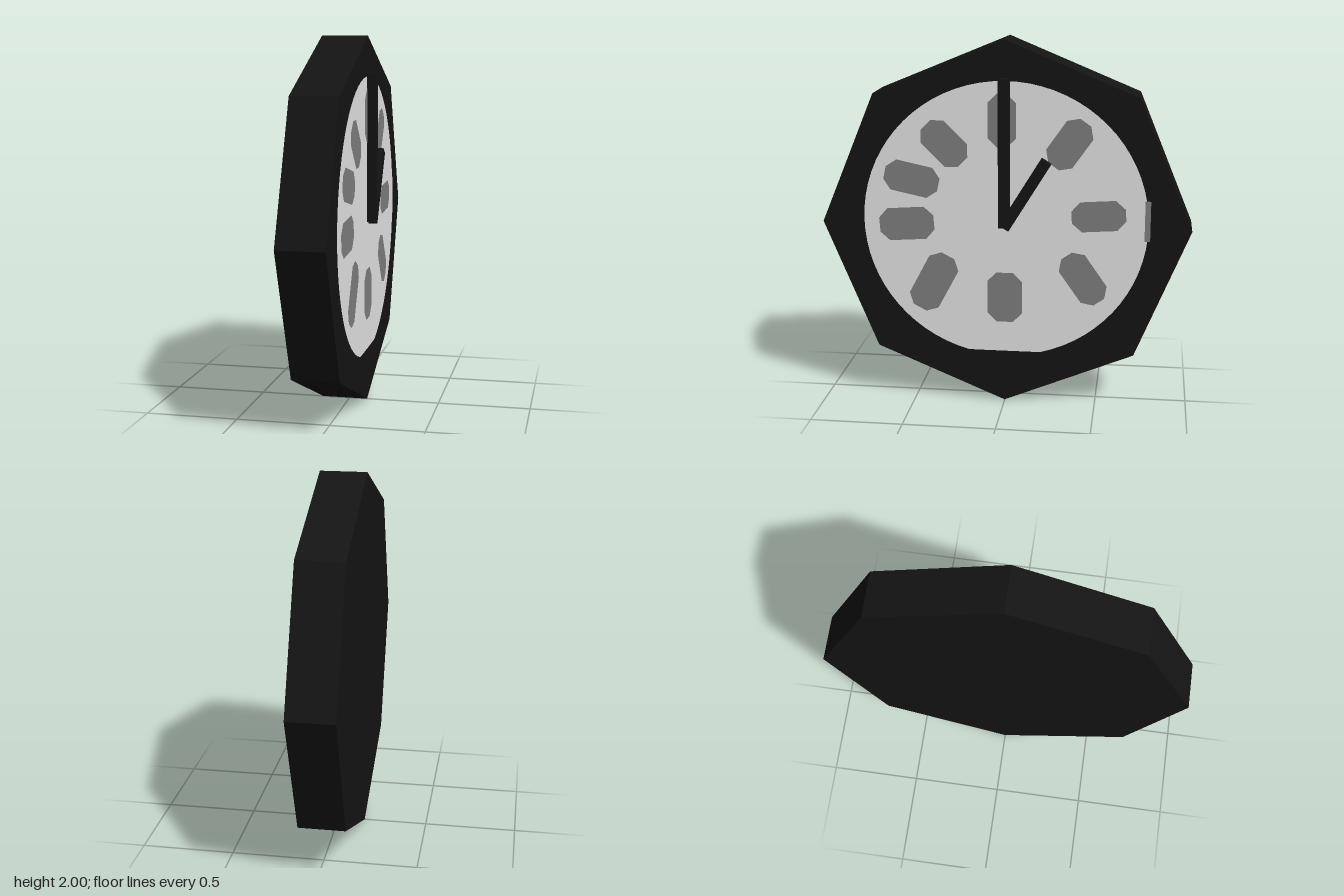
import * as THREE from 'three';

export function createModel() {
  const group = new THREE.Group();
  group.name = 'wallClock';
  const black = new THREE.MeshStandardMaterial({ name: 'black', color: 0x141414 });
  const white = new THREE.MeshStandardMaterial({ name: 'white', color: 0xffffff });
  const grey = new THREE.MeshStandardMaterial({ name: 'grey', color: 0x808080 });

  // The clock is drawn upright in a plane and turned to face +x
  const clock = new THREE.Group();
  clock.name = 'clock';
  clock.rotation.y = Math.PI / 2;
  clock.position.y = 1;
  group.add(clock);

  const add = (name, geometry, material, x, y, z, angle = 0) => {
    const mesh = new THREE.Mesh(geometry, material);
    mesh.name = name;
    mesh.position.set(x, y, z);
    mesh.rotation.z = THREE.MathUtils.degToRad(angle);
    clock.add(mesh);
  };
  // Closed outline from a rule giving the point at each angle
  const outline = (sides, rule) => new THREE.Shape(Array.from({ length: sides }, (_, i) => {
    const a = i / sides * Math.PI * 2;
    return rule(Math.cos(a), Math.sin(a));
  }));

  // Octagonal case with a corner at the top
  const octagon = outline(8, (c, s) => new THREE.Vector2(c, s));
  add('case', new THREE.ExtrudeGeometry(octagon, { depth: 0.25, bevelEnabled: false }), black, 0, 0, -0.15);

  // Dial, a disc with a flattened bottom
  const disc = outline(72, (c, s) => new THREE.Vector2(0.77 * c, Math.max(0.76 * s, -0.735)));
  add('dial', new THREE.ShapeGeometry(disc), white, 0, 0.025, 0.102);

  // Hour marks, clockwise from the top: centre, length, width, tilt of the long axis
  const marks = [
    [-0.015, 0.575, 0.29, 0.15, 90],
    [0.345, 0.455, 0.29, 0.17, 55],
    [0.505, 0.07, 0.29, 0.165, 4],
    [0.425, -0.28, 0.31, 0.17, -55],
    [0, -0.4, 0.28, 0.19, 90],
    [-0.39, -0.325, 0.34, 0.18, 62],
    [-0.535, 0, 0.3, 0.18, 4],
    [-0.505, 0.25, 0.3, 0.17, -12],
    [-0.325, 0.445, 0.28, 0.175, -45],
  ];
  marks.forEach(([x, y, length, width, tilt], i) => {
    // Rectangle with cut corners
    const a = length / 2, b = width / 2, cut = 0.05;
    const shape = new THREE.Shape();
    shape.moveTo(a, cut - b).lineTo(a, b - cut).lineTo(a - cut, b).lineTo(cut - a, b);
    shape.lineTo(-a, b - cut).lineTo(-a, cut - b).lineTo(cut - a, -b).lineTo(a - cut, -b);
    add('hourMark' + (i + 1), new THREE.ShapeGeometry(shape), grey, x, y, 0.104, tilt);
  });
  // Thin mark at the edge of the dial
  add('edgeMark', new THREE.PlaneGeometry(0.03, 0.22), grey, 0.765, 0.05, 0.104);

  // Hands, both pivoting at the centre
  const hand = (name, length, angle) => {
    const g = new THREE.BoxGeometry(0.06, length, 0.05).translate(0, length / 2, 0);
    add(name, g, black, 0, 0, 0.125, angle);
  };
  hand('minuteHand', 0.8, 0);
  hand('hourHand', 0.43, -31.5);

  return group;
}
